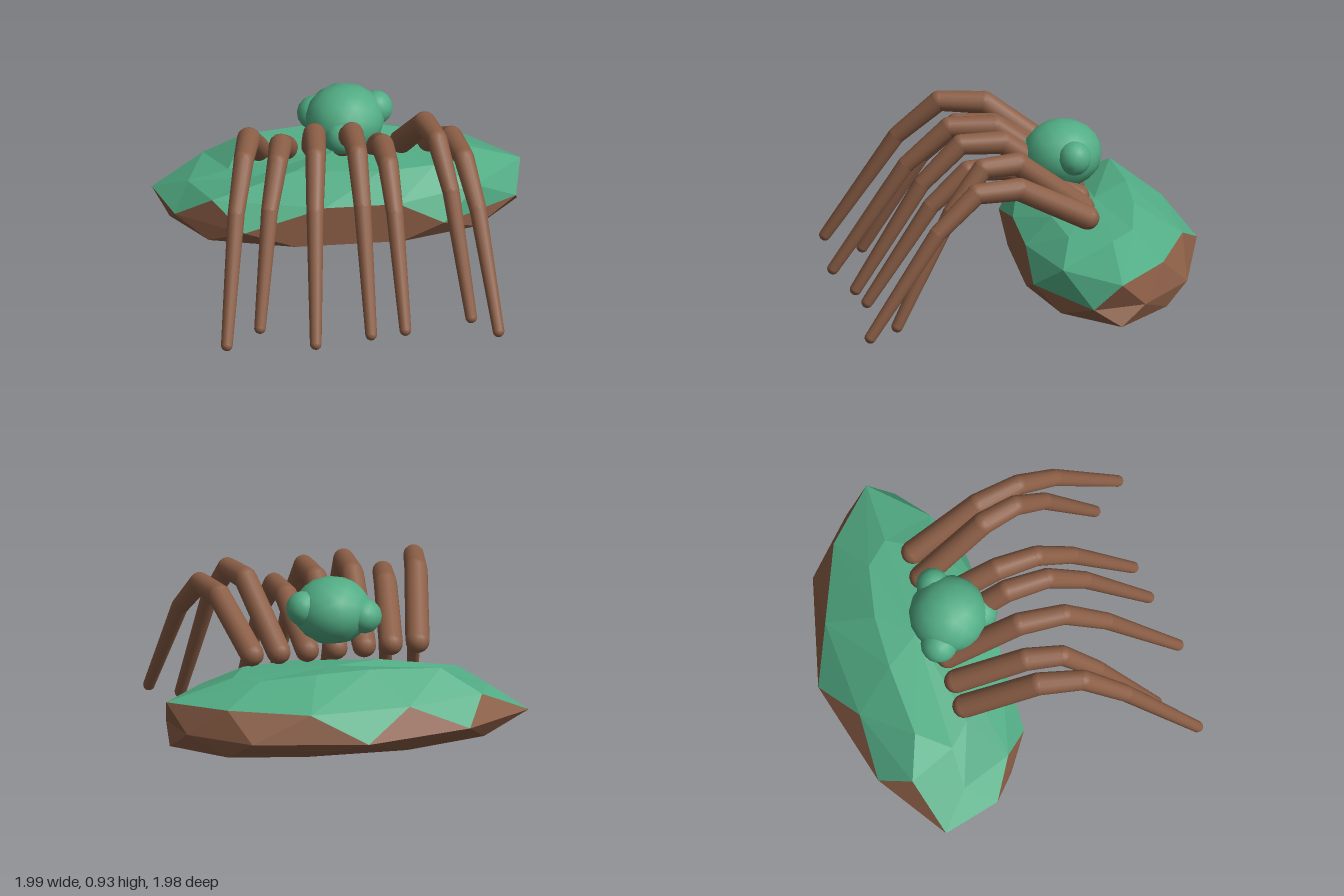
import * as THREE from 'three';

const green = new THREE.MeshStandardMaterial({ color: 0x52ad85 });
green.name = 'leafGreen';
const brown = new THREE.MeshStandardMaterial({ color: 0x8b5e46 });
brown.name = 'barkBrown';

const V = (x, y, z) => new THREE.Vector3(x, y, z);

// Rock cross-sections, counter-clockwise from above, ten points each
const ring = (y, pts) => pts.map(([x, z, h]) => V(x, h ?? y, z));
const bottom = ring(0.1, [[0.97, -0.41], [0.72, -0.7], [0.3, -0.8], [-0.25, -0.82], [-0.72, -0.68],
  [-0.92, -0.42], [-0.74, -0.13], [-0.28, 0], [0.3, 0], [0.72, -0.12]]);
const middle = ring(0.2, [[0.95, -0.26], [0.91, -0.55], [0.62, -0.83], [0.01, -0.99], [-0.6, -0.84],
  [-1, -0.58], [-0.91, -0.26], [-0.56, 0], [0.08, 0], [0.53, 0]]);
const upper = ring(0.35, [[0.99, -0.41], [0.72, -0.68, 0.36], [0.3, -0.86], [-0.26, -0.84], [-0.71, -0.68, 0.34],
  [-0.82, -0.42, 0.31], [-0.72, -0.14, 0.34], [-0.12, 0, 0.33], [0.28, 0, 0.33], [0.72, -0.13]]);
const crown = ring(0.45, [[0.62, -0.42, 0.46], [0.5, -0.55, 0.47], [0.2, -0.61, 0.5], [-0.1, -0.62, 0.51], [-0.5, -0.6, 0.48],
  [-0.6, -0.42, 0.37], [-0.48, -0.3, 0.38], [-0.26, -0.23, 0.44], [0.2, -0.16], [0.5, -0.2]]);

function facetMesh(name, points, material) {
  const geometry = new THREE.BufferGeometry().setFromPoints(points);
  geometry.computeVertexNormals();
  const mesh = new THREE.Mesh(geometry, material);
  mesh.name = name;
  return mesh;
}

function makeRock() {
  const stone = [], moss = [];
  const n = middle.length;
  const top = V(0.05, 0.485, -0.42), base = V(0, 0.1, -0.4);
  const mossyPeaks = [5, 9]; // facets rising from the middle ring that are green
  const barePoints = [1, 2, 8]; // facets hanging down to it that stay brown
  for (let i = 0; i < n; i++) {
    const j = (i + 1) % n, h = (i + n - 1) % n;
    // underside and lower band
    stone.push(base, bottom[j], bottom[i]);
    stone.push(bottom[h], bottom[i], middle[i], middle[i], bottom[i], middle[j]);
    // zigzag side band
    (mossyPeaks.includes(i) ? moss : stone).push(middle[i], middle[j], upper[i]);
    (barePoints.includes(i) ? stone : moss).push(upper[h], middle[i], upper[i]);
    // mossy shoulder and cap
    moss.push(upper[i], upper[j], crown[j], upper[i], crown[j], crown[i]);
    moss.push(crown[i], crown[j], top);
  }
  const rock = new THREE.Group();
  rock.name = 'rock';
  rock.add(facetMesh('rockBase', stone, brown), facetMesh('rockMoss', moss, green));
  return rock;
}

// Tapered limb: cones between points, with a ball at every joint
function makeLimb(name, points, radii) {
  const limb = new THREE.Group();
  limb.name = name;
  points.forEach((p, i) => {
    const joint = new THREE.Mesh(new THREE.SphereGeometry(radii[i], 14, 10), brown);
    joint.name = 'joint';
    joint.position.copy(p);
    limb.add(joint);
    if (i === 0) return;
    const q = points[i - 1];
    const dir = p.clone().sub(q);
    const segment = new THREE.Mesh(
      new THREE.CylinderGeometry(radii[i], radii[i - 1], dir.length(), 14, 1, true), brown);
    segment.name = 'segment';
    segment.position.copy(p).add(q).multiplyScalar(0.5);
    segment.quaternion.setFromUnitVectors(V(0, 1, 0), dir.normalize());
    limb.add(segment);
  });
  return limb;
}

// Hip x, knee x, foot x, knee top height, foot z
const legs = [
  [-0.45, -0.6, -0.76, 0.9, 0.92],
  [-0.3, -0.41, -0.56, 0.84, 0.75],
  [-0.15, -0.21, -0.28, 0.905, 0.96],
  [0.01, 0.02, 0.03, 0.895, 0.89],
  [0.17, 0.19, 0.22, 0.81, 0.86],
  [0.33, 0.46, 0.59, 0.93, 0.76],
  [0.48, 0.6, 0.72, 0.84, 0.93],
];

function makeLeg([hip, knee, foot, height, reach]) {
  const mix = THREE.MathUtils.lerp;
  return makeLimb('leg', [
    V(hip, 0.55, -0.305),
    V(mix(hip, knee, 0.65), height - 0.065, 0.09 * reach),
    V(knee, height - 0.06, 0.35 * reach),
    V(mix(knee, foot, 0.42), height * 0.73 - 0.03, 0.59 * reach),
    V(foot, 0.032, reach),
  ], [0.066, 0.063, 0.056, 0.047, 0.032]);
}

// Leaf clump: one large ball with three smaller ones around it
function makeCanopy() {
  const canopy = new THREE.Group();
  canopy.name = 'canopy';
  const balls = [
    ['mainClump', 0.015, 0.745, -0.25, 0.215, 0.185],
    ['leftClump', 0.19, 0.78, -0.285, 0.09, 0.095],
    ['rightClump', -0.135, 0.73, -0.35, 0.1, 0.095],
    ['frontClump', -0.015, 0.72, -0.085, 0.1, 0.095],
  ];
  for (const [name, x, y, z, r, ry] of balls) {
    const ball = new THREE.Mesh(new THREE.IcosahedronGeometry(1, 2), green);
    ball.name = name;
    ball.position.set(x, y, z);
    ball.scale.set(r, ry, r);
    canopy.add(ball);
  }
  return canopy;
}

export function createModel() {
  const model = new THREE.Group();
  model.name = 'rootedPlantOnRock';
  model.add(makeRock(), makeCanopy());
  for (const leg of legs) model.add(makeLeg(leg));
  return model;
}
